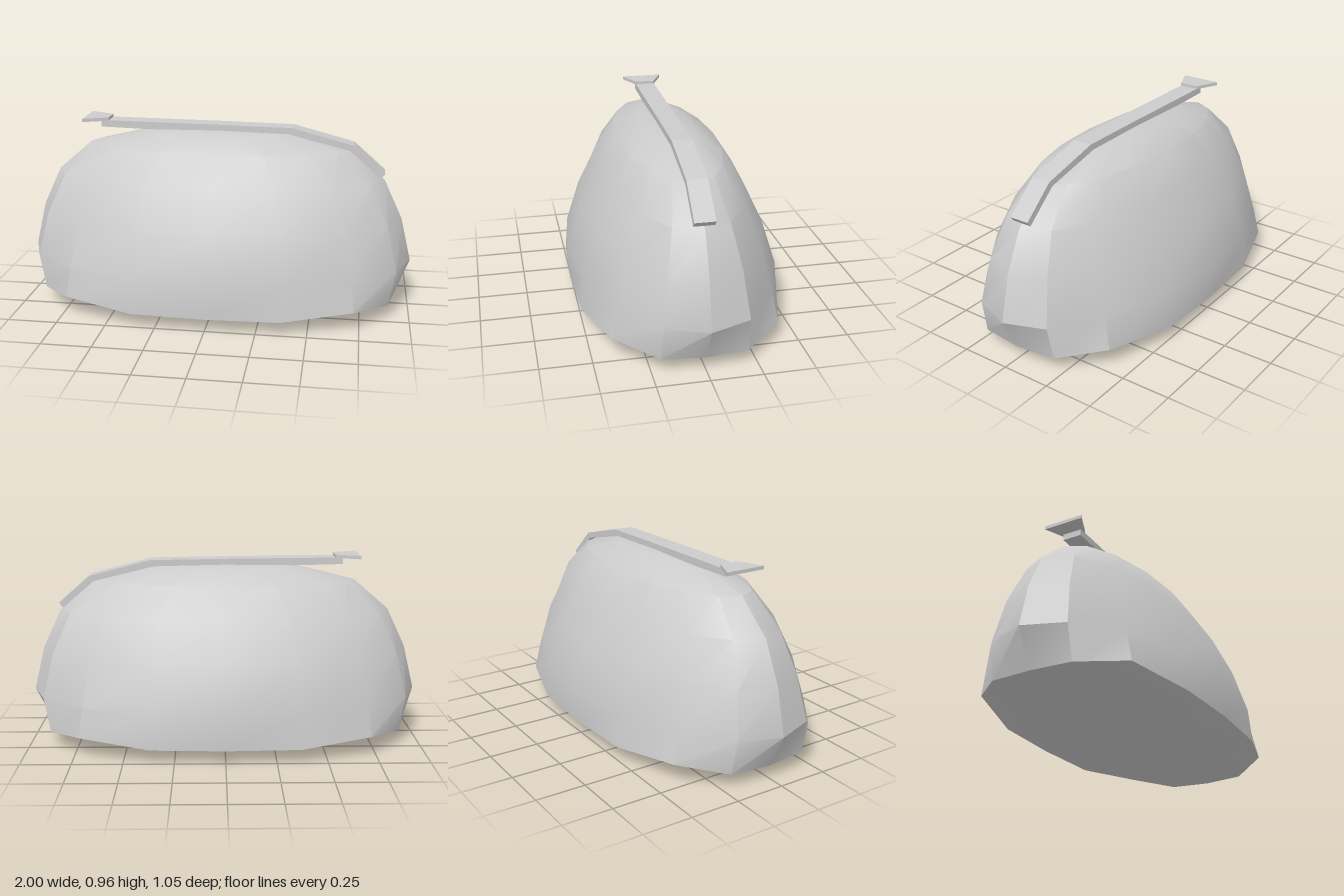
import * as THREE from 'three';
import { toCreasedNormals } from 'three/addons/utils/BufferGeometryUtils.js';

const SIDES = 16;
const material = new THREE.MeshStandardMaterial({ color: 0xcccccc });

// Elliptical rings from bottom to top: [y, x radius, z radius]
const RINGS = [
  [0.01, 0.53, 0.30],
  [0.07, 0.91, 0.517],
  [0.245, 1.0, 0.525],
  [0.47, 0.945, 0.45],
  [0.67, 0.85, 0.35],
  [0.825, 0.67, 0.25],
  [0.90, 0.37, 0.125],
];

function bodyGeometry() {
  const positions = [];
  const index = [];
  RINGS.forEach(([y, rx, rz], r) => {
    for (let i = 0; i < SIDES; i++) {
      const a = (i / SIDES) * Math.PI * 2;
      let x = rx * Math.cos(a), z = rz * Math.sin(a), h = y;
      if (r === 1) {
        // The lower rim is squarer and lifts at its four corners
        const corner = Math.sin(2 * a) ** 2;
        x *= 1 + 0.12 * corner;
        z *= 1 + 0.10 * corner;
        if (i % 4 === 2) h = 0.10;
        else if (i % 8 === 0) h = 0.066;
      }
      positions.push(x, h, z);
    }
  });
  const bottom = positions.length / 3;
  const top = bottom + 1;
  positions.push(0, 0, 0, 0, 0.91, 0);

  const last = (RINGS.length - 1) * SIDES;
  for (let i = 0; i < SIDES; i++) {
    const j = (i + 1) % SIDES;
    for (let r = 0; r < last; r += SIDES) {
      index.push(r + i, r + SIDES + i, r + j, r + j, r + SIDES + i, r + SIDES + j);
    }
    index.push(bottom, i, j, top, last + j, last + i);
  }
  const geometry = new THREE.BufferGeometry();
  geometry.setAttribute('position', new THREE.Float32BufferAttribute(positions, 3));
  geometry.setIndex(index);
  return toCreasedNormals(geometry, THREE.MathUtils.degToRad(28.5));
}

// Straight extrusion of an outline, centred on its depth
function slab(points, depth) {
  const shape = new THREE.Shape(points.map(([x, y]) => new THREE.Vector2(x, y)));
  return new THREE.ExtrudeGeometry(shape, { depth, bevelEnabled: false }).translate(0, 0, -depth / 2);
}

export function createModel() {
  const model = new THREE.Group();
  const add = (name, geometry) => {
    const mesh = new THREE.Mesh(geometry, material);
    mesh.name = name;
    model.add(mesh);
    return mesh;
  };

  add('body', bodyGeometry());

  // Strap following the crown and bending down over the left end
  add('strap', slab([
    [-0.605, 0.91], [-0.36, 0.904], [0, 0.908], [0.36, 0.9], [0.67, 0.825], [0.83, 0.687],
    [0.85, 0.712], [0.69, 0.852], [0.38, 0.932], [0, 0.938], [-0.605, 0.944],
  ], 0.1));

  // Flared tab at the strap's right end
  const tab = add('strapTab', slab([
    [-0.69, -0.105], [-0.565, -0.05], [-0.565, 0.05], [-0.69, 0.105],
  ], 0.017));
  tab.rotation.x = -Math.PI / 2;
  tab.position.y = 0.95;

  return model;
}
